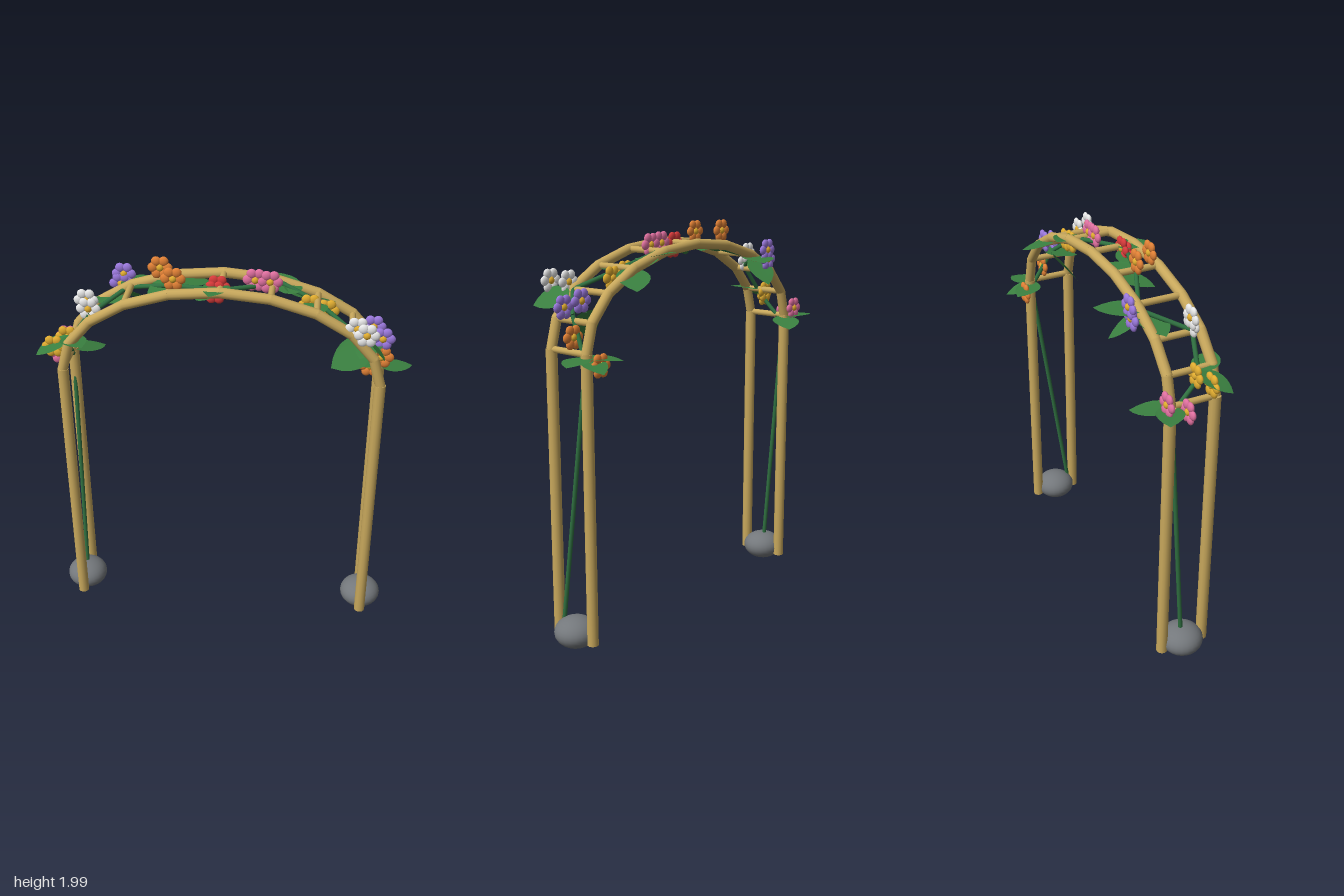
import * as THREE from 'three';

const mat = (name, color, extra = {}) => {
  const m = new THREE.MeshStandardMaterial({ color, ...extra });
  m.name = name;
  return m;
};
const V = (a) => new THREE.Vector3(...a);

export function createModel() {
  const root = new THREE.Group();
  root.name = 'flowerArch';
  const M = {
    wood: mat('wood', 0xc8a85c),
    stone: mat('stone', 0x74787c),
    vine: mat('vine green', 0x2f7040),
    leaf: mat('leaf green', 0x3a8040, { side: THREE.DoubleSide }),
    orange: mat('orange', 0xe08035),
    pink: mat('pink', 0xe070a0),
    purple: mat('purple', 0x9a78dc),
    white: mat('white', 0xf2f2f2),
    red: mat('red', 0xd63a3a),
    yellow: mat('yellow', 0xe0ac30),
  };
  const add = (name, geo, m, parent = root) => {
    const mesh = new THREE.Mesh(geo, m);
    mesh.name = name;
    parent.add(mesh);
    return mesh;
  };
  // Round bar between two points
  const bar = (name, a, b, r, m, parent) => {
    const d = b.clone().sub(a);
    const mesh = add(name, new THREE.CylinderGeometry(r, r, d.length(), 12), m, parent);
    mesh.position.copy(a).add(b).multiplyScalar(0.5);
    mesh.quaternion.setFromUnitVectors(new THREE.Vector3(0, 1, 0), d.normalize());
  };

  // Frame: two posts and a ten-piece elliptical arch per side, joined by rungs
  const CX = -0.01, RX = 0.765, RY = 0.44, SPRING = 1.46, FRONT = 0.14, BACK = -0.088;
  const archPoint = (k, z) => {
    const t = (k / 10) * Math.PI;
    return V([CX + RX * Math.cos(t), SPRING + RY * Math.sin(t), z]);
  };
  for (const z of [FRONT, BACK]) {
    for (const s of [-1, 1]) {
      bar('post', V([CX + s * RX, 0.05, z]), V([CX + s * RX, SPRING, z]), 0.028, M.wood);
    }
    const rail = new THREE.Group();
    rail.name = 'archRail';
    root.add(rail);
    for (let k = 0; k < 10; k++) {
      bar('railPiece', archPoint(k, z), archPoint(k + 1, z), 0.025, M.wood, rail);
      const joint = add('railJoint', new THREE.SphereGeometry(0.025, 12, 8), M.wood, rail);
      joint.position.copy(archPoint(k, z));
    }
  }
  for (let k = 0; k <= 10; k++) bar('rung', archPoint(k, BACK), archPoint(k, FRONT), 0.016, M.wood);

  // Foot stones
  for (const s of [-1, 1]) {
    const stone = add('footStone', new THREE.SphereGeometry(1, 24, 16), M.stone);
    stone.scale.set(0.107, 0.077, 0.107);
    stone.position.set(CX + s * RX, 0.085, 0.026);
  }

  // Vine climbing both legs and zigzagging over the arch
  const vine = new THREE.Group();
  vine.name = 'vine';
  root.add(vine);
  const path = [
    [0.755, 0.1, 0.11], [0.755, 1.42, -0.08], [0.72, 1.62, 0.03], [0.62, 1.72, 0.13],
    [0.44, 1.81, 0], [0.27, 1.87, -0.06], [-0.01, 1.89, 0.09], [-0.25, 1.87, 0.02],
    [-0.48, 1.8, -0.09], [-0.64, 1.73, 0.09], [-0.76, 1.56, 0.06], [-0.775, 1.42, -0.08],
    [-0.775, 0.1, 0.02],
  ].map(V);
  for (let i = 0; i + 1 < path.length; i++) bar('vineStem', path[i], path[i + 1], 0.011, M.vine, vine);

  // Leaves: pointed oval with a slightly drooping tip, one unit long
  const outline = new THREE.Shape();
  outline.moveTo(0, 0);
  outline.bezierCurveTo(0.42, 0.08, 0.52, 0.6, 0, 1);
  outline.bezierCurveTo(-0.52, 0.6, -0.42, 0.08, 0, 0);
  const leafGeo = new THREE.ShapeGeometry(outline, 8);
  const lp = leafGeo.attributes.position;
  for (let i = 0; i < lp.count; i++) {
    const x = lp.getX(i), y = lp.getY(i);
    lp.setZ(i, 0.4 * y * (1 - y) - 0.25 * Math.abs(x));
  }
  leafGeo.computeVertexNormals();
  // [base, tip, optional facing direction]
  const leaves = [
    [[-0.76, 1.46, -0.08], [-0.92, 1.46, -0.17]],
    [[-0.78, 1.46, -0.08], [-0.64, 1.41, -0.22]],
    [[-0.76, 1.6, 0.06], [-0.66, 1.61, 0.2]],
    [[-0.76, 1.6, 0.06], [-0.9, 1.53, 0.15]],
    [[-0.47, 1.77, -0.05], [-0.66, 1.74, -0.05]],
    [[-0.5, 1.81, -0.08], [-0.35, 1.79, -0.25]],
    [[-0.5, 1.8, -0.08], [-0.44, 1.67, -0.22]],
    [[-0.23, 1.87, -0.07], [-0.36, 1.83, 0.06]],
    [[-0.24, 1.88, 0.0], [-0.07, 1.86, -0.07]],
    [[-0.01, 1.91, 0.04], [-0.05, 1.91, 0.21]],
    [[-0.01, 1.89, 0.08], [-0.13, 1.83, 0.08]],
    [[0.34, 1.85, 0.0], [0.22, 1.88, -0.16]],
    [[0.27, 1.87, -0.06], [0.4, 1.8, -0.06]],
    [[0.42, 1.82, -0.05], [0.55, 1.73, -0.21]],
    [[0.44, 1.81, -0.01], [0.41, 1.8, 0.13]],
    [[0.7, 1.62, 0.02], [0.52, 1.51, 0.09], [-0.2, 0.5, 0.9]],
    [[0.72, 1.64, -0.02], [0.65, 1.6, 0.15]],
    [[0.66, 1.72, 0.11], [0.76, 1.65, 0.25], [0.8, 0.6, 0]],
    [[0.74, 1.45, -0.06], [0.64, 1.43, -0.21]],
    [[0.76, 1.45, -0.07], [0.92, 1.43, -0.13]],
    [[0.74, 1.45, -0.07], [0.78, 1.39, -0.22]],
  ];
  for (const [a, b, facing = [0, 1, 0]] of leaves) {
    const base = V(a), dir = V(b).sub(base), len = dir.length();
    dir.normalize();
    const side = dir.clone().cross(V(facing)).normalize();
    const up = side.clone().cross(dir);
    const leaf = add('leaf', leafGeo, M.leaf);
    leaf.quaternion.setFromRotationMatrix(new THREE.Matrix4().makeBasis(side, dir, up));
    leaf.scale.set(Math.max(len, 0.18), len, len);
    leaf.position.copy(base);
  }

  // Flowers: six flattened petals round a yellow centre
  const petalGeo = new THREE.SphereGeometry(0.024, 12, 8).scale(1, 1, 0.55);
  const centreGeo = new THREE.SphereGeometry(0.019, 12, 8).scale(1, 1, 0.9);
  const flowers = {
    orange: [[-0.305, 1.945, -0.01], [-0.228, 1.94, 0.1], [0.76, 1.53, -0.01], [0.715, 1.41, -0.135]],
    pink: [[-0.83, 1.45, -0.03], [-0.81, 1.5, -0.125], [0.145, 1.91, 0.005], [0.215, 1.905, 0.01]],
    purple: [[-0.51, 1.84, -0.155], [-0.525, 1.79, -0.15], [0.71, 1.69, -0.015], [0.755, 1.66, 0.052]],
    white: [[-0.65, 1.8, 0.075], [-0.64, 1.76, 0.085], [0.63, 1.755, 0.148], [0.672, 1.76, 0.222]],
    red: [[-0.025, 1.895, 0.065], [-0.035, 1.875, 0.085]],
    yellow: [[-0.768, 1.58, 0.037], [-0.825, 1.55, 0.086], [0.405, 1.79, 0], [0.485, 1.77, 0.006]],
  };
  for (const [colour, spots] of Object.entries(flowers)) {
    for (const p of spots) {
      const flower = new THREE.Group();
      flower.name = colour + 'Flower';
      flower.position.copy(V(p));
      root.add(flower);
      for (let i = 0; i < 6; i++) {
        const t = (i / 6) * Math.PI * 2;
        add('petal', petalGeo, M[colour], flower).position.set(0.036 * Math.cos(t), 0.036 * Math.sin(t), 0);
      }
      add('flowerCentre', centreGeo, M.yellow, flower);
    }
  }
  return root;
}
